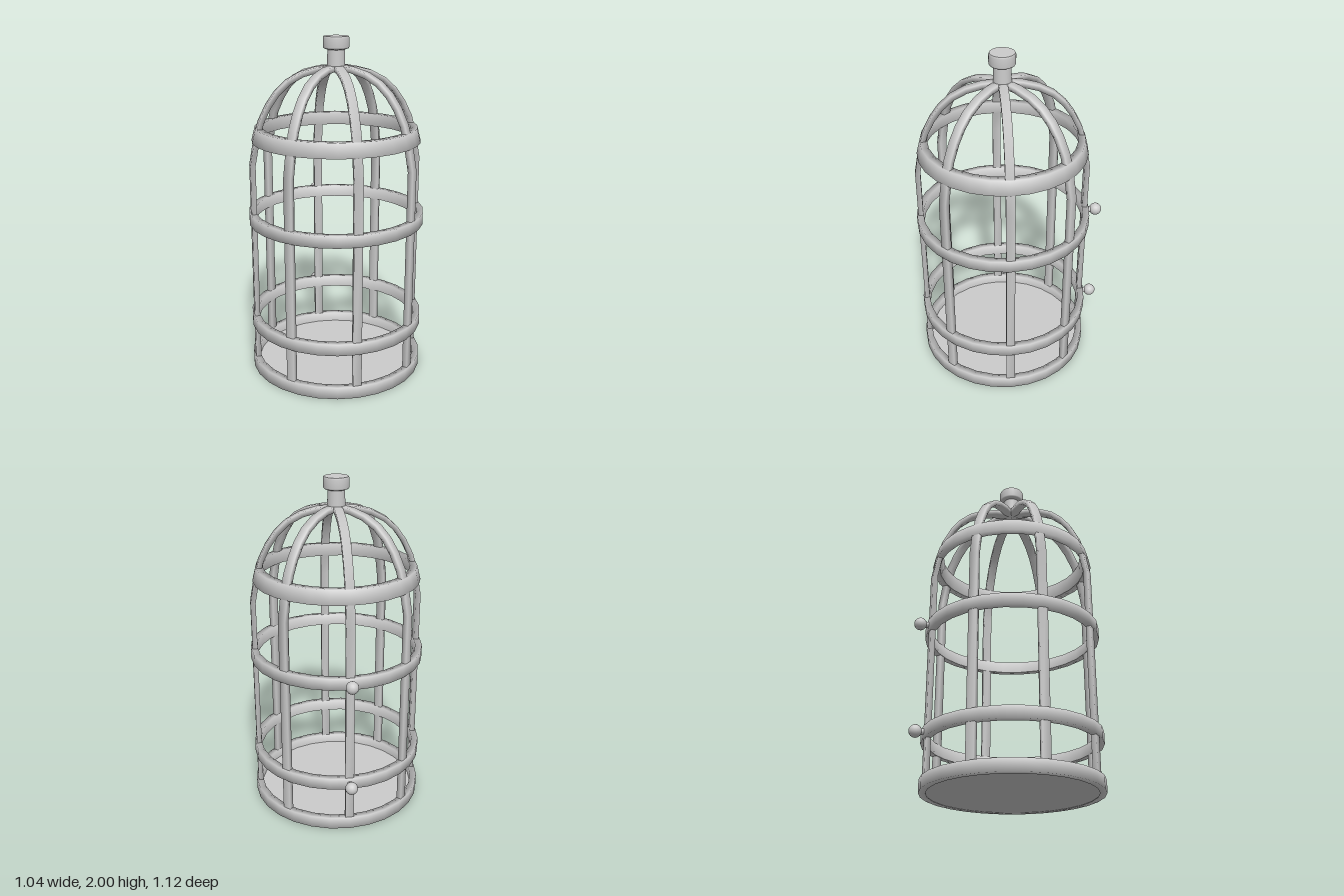
import * as THREE from 'three';

const material = new THREE.MeshStandardMaterial({ color: 0xcccccc });
const openMaterial = new THREE.MeshStandardMaterial({ color: 0xcccccc, side: THREE.DoubleSide });
const SEGMENTS = 28;

function add(parent, name, geometry, mat = material) {
  const mesh = new THREE.Mesh(geometry, mat);
  mesh.name = name;
  parent.add(mesh);
  return mesh;
}

// Lathe from [radius, y] pairs
function lathe(pairs) {
  return new THREE.LatheGeometry(pairs.map(([r, y]) => new THREE.Vector2(r, y)), SEGMENTS);
}

// Flat hoop with a rectangular section; top and bottom radii may differ
function hoop(rBottom, rTop, thickness, y0, y1) {
  return lathe([
    [rBottom - thickness, y0], [rBottom, y0], [rTop, y1],
    [rTop - thickness, y1], [rBottom - thickness, y0],
  ]);
}

// Flat strip swept along a path of [radius, y] pairs in the XY plane
function stripGeometry(path, width, thickness) {
  const positions = [], index = [];
  path.forEach(([x, y], i) => {
    const a = path[Math.max(i - 1, 0)], b = path[Math.min(i + 1, path.length - 1)];
    const d = new THREE.Vector2(b[0] - a[0], b[1] - a[1]).normalize();
    const nx = d.y * thickness / 2, ny = -d.x * thickness / 2;
    for (const [s, z] of [[1, 1], [1, -1], [-1, -1], [-1, 1]]) {
      positions.push(x + s * nx, y + s * ny, z * width / 2);
    }
    if (i === 0) return;
    for (let k = 0; k < 4; k++) {
      const p = (i - 1) * 4 + k, q = (i - 1) * 4 + (k + 1) % 4;
      index.push(p, q, q + 4, p, q + 4, p + 4);
    }
  });
  const n = (path.length - 1) * 4;
  index.push(0, 2, 1, 0, 3, 2, n, n + 1, n + 2, n, n + 2, n + 3);
  const geometry = new THREE.BufferGeometry();
  geometry.setAttribute('position', new THREE.Float32BufferAttribute(positions, 3));
  geometry.setIndex(index);
  geometry.computeVertexNormals();
  return geometry;
}

export function createModel() {
  const model = new THREE.Group();
  model.name = 'birdcage';
  const cage = new THREE.Group();
  cage.name = 'cage';
  cage.position.z = 0.04;
  model.add(cage);

  // Floor and hoops
  const floor = add(cage, 'floor', new THREE.CylinderGeometry(0.505, 0.505, 0.012, SEGMENTS));
  floor.position.y = 0.008;
  add(cage, 'baseRim', hoop(0.52, 0.52, 0.04, 0, 0.072), openMaterial);
  add(cage, 'lowerHoop', hoop(0.52, 0.52, 0.04, 0.275, 0.345), openMaterial);
  add(cage, 'middleHoop', hoop(0.52, 0.52, 0.04, 0.92, 0.99), openMaterial);
  add(cage, 'domeHoop', hoop(0.493, 0.472, 0.043, 1.408, 1.49), openMaterial);

  // Eight bars bending inward into the dome
  const path = [
    [0.495, 0.01], [0.495, 1.28], [0.467, 1.43], [0.44, 1.53], [0.395, 1.62],
    [0.345, 1.69], [0.28, 1.75], [0.2, 1.792], [0.11, 1.816], [0, 1.825],
  ];
  const barGeometry = stripGeometry(path, 0.05, 0.03);
  for (let i = 0; i < 8; i++) {
    add(cage, 'bar', barGeometry).rotation.y = i * Math.PI / 4;
  }

  // Finial: neck and wider cap
  add(cage, 'finialNeck', new THREE.CylinderGeometry(0.049, 0.052, 0.12, SEGMENTS)).position.y = 1.89;
  add(cage, 'finialCap', lathe([
    [0, 1.925], [0.05, 1.925], [0.07, 1.932], [0.075, 1.94],
    [0.075, 1.99], [0.07, 2], [0.07, 2], [0, 2],
  ]));

  // Two latch knobs at the back
  for (const y of [0.31, 0.957]) {
    const knob = new THREE.Group();
    knob.name = 'latchKnob';
    knob.position.set(0, y, -0.565);
    cage.add(knob);
    add(knob, 'knobBall', new THREE.SphereGeometry(0.037, 16, 12));
    const stem = add(knob, 'knobStem', new THREE.CylinderGeometry(0.018, 0.018, 0.06, 12));
    stem.rotation.x = Math.PI / 2;
    stem.position.z = 0.045;
  }
  return model;
}
